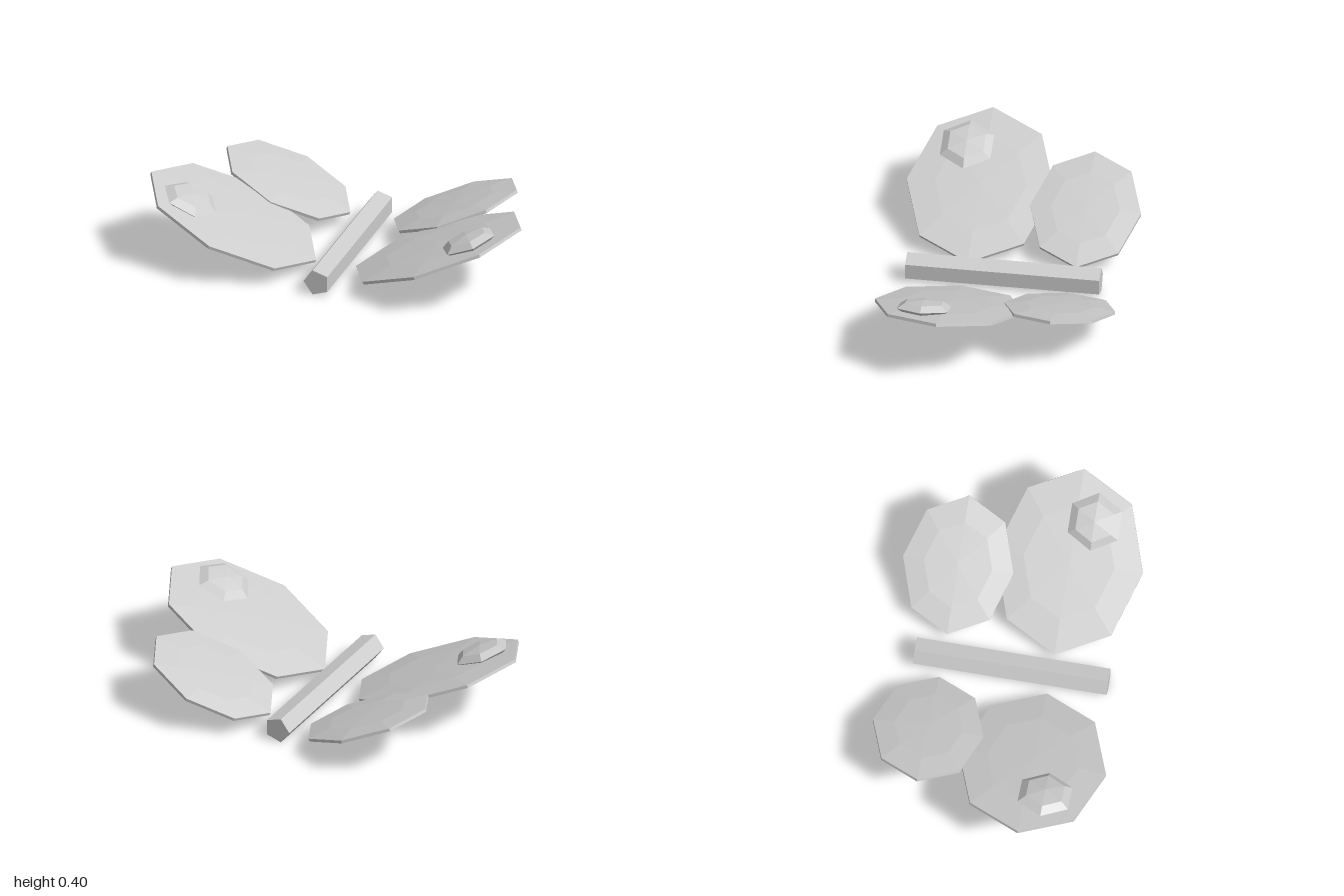
import * as THREE from 'three';

const TILT = 0.383; // upward slope of the wings

export function createModel() {
  const model = new THREE.Group();
  model.name = 'butterfly';
  const grey = new THREE.MeshStandardMaterial({ color: 0xcccccc, flatShading: true });
  grey.name = 'light grey';

  // Flattened low-poly sphere, tilted up and away from the body
  function disc(name, side, sides, rings, radii, pos) {
    const geometry = new THREE.SphereGeometry(1, sides, rings);
    geometry.scale(...radii);
    const mesh = new THREE.Mesh(geometry, grey);
    mesh.name = name;
    mesh.position.set(side * pos[0], pos[1], pos[2]);
    mesh.rotation.z = side * TILT;
    model.add(mesh);
  }

  // Five-sided body running front to back, one edge pointing to -x
  const bodyGeometry = new THREE.CylinderGeometry(0.071, 0.071, 1, 5, 1, false, -Math.PI / 2);
  bodyGeometry.rotateX(Math.PI / 2);
  const body = new THREE.Mesh(bodyGeometry, grey);
  body.name = 'body';
  body.position.set(0, 0.068, 0.025);
  model.add(body);

  // Wings and wing spots, mirrored
  for (const [label, side] of [['left', 1], ['right', -1]]) {
    disc(label + 'FrontWing', side, 8, 5, [0.504, 0.026, 0.4], [0.555, 0.218, 0.226]);
    disc(label + 'BackWing', side, 8, 5, [0.376, 0.026, 0.3], [0.452, 0.19, -0.33]);
    disc(label + 'WingSpot', side, 6, 4, [0.15, 0.04, 0.15], [0.75, 0.33, 0.325]);
  }
  return model;
}
